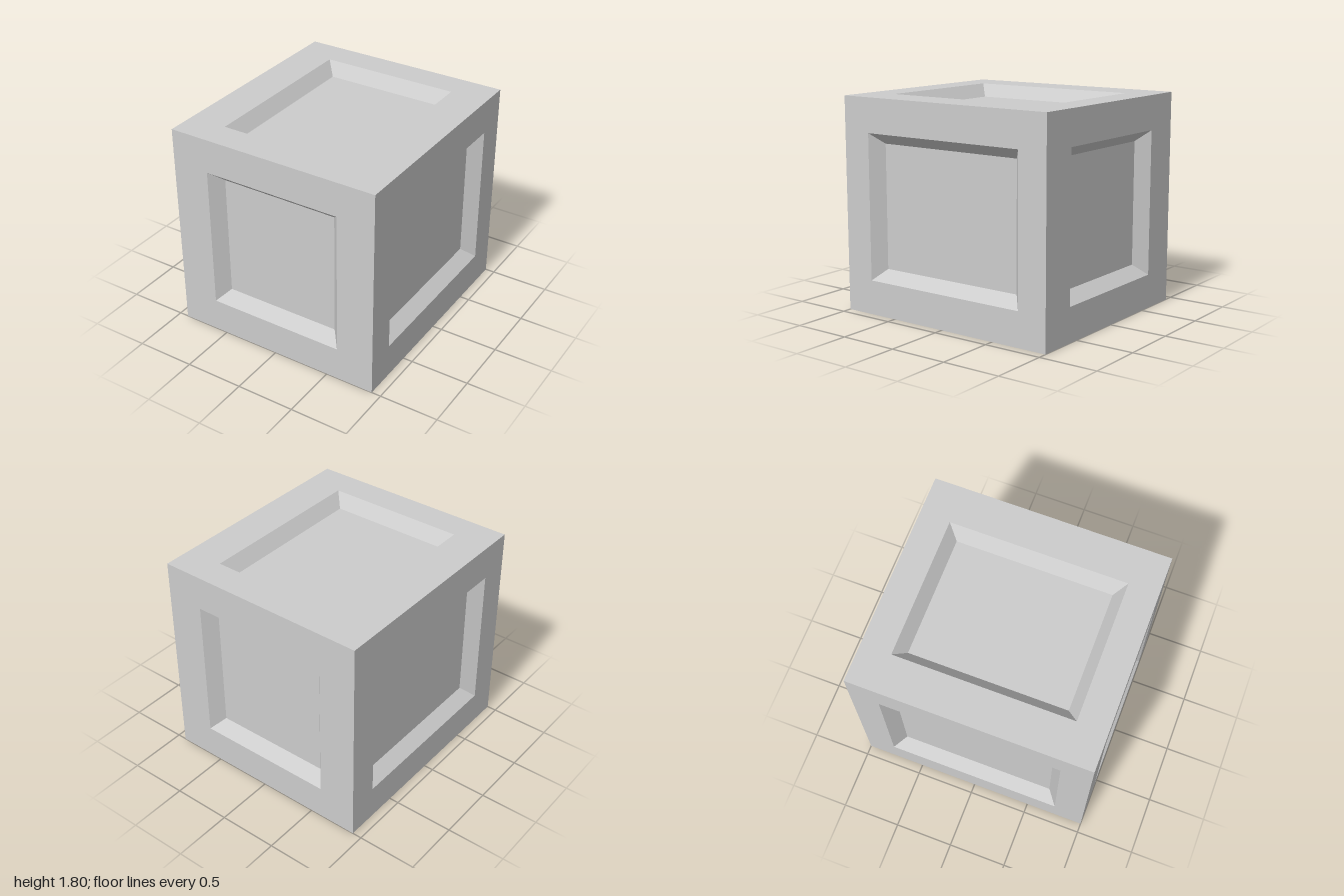
import * as THREE from 'three';

const HALF = [0.92, 0.9025, 1];          // half size of the box on x, y, z
const OPENING = [0.597, 0.613, 0.747];   // half size of the recess at the surface
const BEVEL = 0.09;                      // how far the recess walls slope inwards
const DEPTH = 0.107;                     // how deep each panel sits

// One face in its own plane (facing +z): flat border, sloped walls and sunken floor
function recessedFace(u, v) {
  const loop = (w, h, z) => [[-w, -h, z], [w, -h, z], [w, h, z], [-w, h, z]];
  const rings = [
    loop(HALF[u], HALF[v], 0),
    loop(OPENING[u], OPENING[v], 0),
    loop(OPENING[u] - BEVEL, OPENING[v] - BEVEL, -DEPTH),
  ];
  const pos = [];
  const quad = (a, b, c, d) => pos.push(...a, ...b, ...c, ...a, ...c, ...d);
  for (let r = 0; r < 2; r++) {
    for (let i = 0; i < 4; i++) {
      const j = (i + 1) % 4;
      quad(rings[r][i], rings[r][j], rings[r + 1][j], rings[r + 1][i]);
    }
  }
  quad(...rings[2]);
  const geometry = new THREE.BufferGeometry();
  geometry.setAttribute('position', new THREE.Float32BufferAttribute(pos, 3));
  geometry.computeVertexNormals();
  return geometry;
}

export function createModel() {
  const group = new THREE.Group();
  group.name = 'panelledBox';
  const material = new THREE.MeshStandardMaterial({ color: 0xcccccc, flatShading: true });
  const Q = Math.PI / 2;

  // name, width axis, height axis, outward axis, direction, x and y rotation
  const faces = [
    ['frontPanel', 0, 1, 2, 1, 0, 0],
    ['backPanel', 0, 1, 2, -1, 0, Math.PI],
    ['leftPanel', 2, 1, 0, 1, 0, Q],
    ['rightPanel', 2, 1, 0, -1, 0, -Q],
    ['topPanel', 0, 2, 1, 1, -Q, 0],
    ['bottomPanel', 0, 2, 1, -1, Q, 0],
  ];
  for (const [name, u, v, axis, dir, rx, ry] of faces) {
    const face = new THREE.Mesh(recessedFace(u, v), material);
    face.name = name;
    face.rotation.set(rx, ry, 0);
    face.position.y = HALF[1];
    face.position.setComponent(axis, face.position.getComponent(axis) + dir * HALF[axis]);
    group.add(face);
  }
  return group;
}
